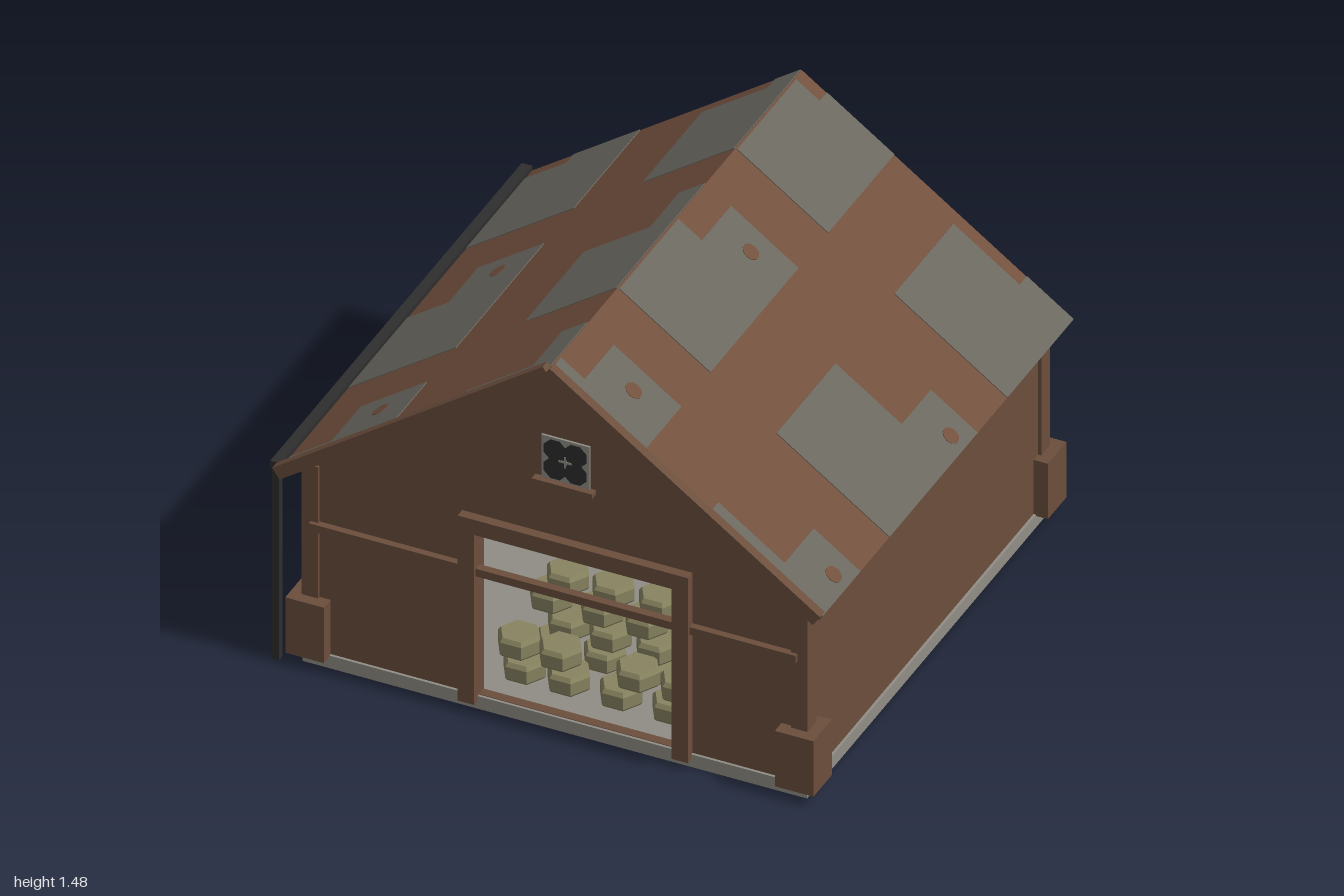
import * as THREE from 'three';

const mat = (name, color) => {
  const m = new THREE.MeshStandardMaterial({ color });
  m.name = name;
  return m;
};

export function createModel() {
  const wood = mat('brown wood', 0x6b4e3c);
  const rust = mat('rusty roof', 0x72503e);
  const steel = mat('bare roof metal', 0x6a675f);
  const dark = mat('dark metal', 0x2e2e2e);
  const concrete = mat('concrete', 0x908d85);
  const straw = mat('straw', 0x878360);

  const barn = new THREE.Group();
  barn.name = 'barn';
  const CX = 0.015, CZ = -0.015; // centre of the walls
  const SLOPE = Math.atan(0.708), COS = Math.cos(SLOPE);

  // box given by its limits on each axis
  function box(name, m, x0, x1, y0, y1, z0, z1, parent = barn) {
    const mesh = new THREE.Mesh(new THREE.BoxGeometry(x1 - x0, y1 - y0, z1 - z0), m);
    mesh.position.set((x0 + x1) / 2, (y0 + y1) / 2, (z0 + z1) / 2);
    mesh.name = name;
    parent.add(mesh);
    return mesh;
  }
  // flat outline with thickness, its back at z
  function panel(name, m, points, z, depth, hole) {
    const shape = new THREE.Shape(points.map(p => new THREE.Vector2(...p)));
    if (hole) shape.holes.push(new THREE.Path(hole.map(p => new THREE.Vector2(...p))));
    const mesh = new THREE.Mesh(new THREE.ExtrudeGeometry(shape, { depth, bevelEnabled: false }), m);
    mesh.position.z = z;
    mesh.name = name;
    barn.add(mesh);
  }

  // foundation and walls
  box('foundation', concrete, -0.9, 0.93, 0, 0.05, -0.93, 0.9);
  const outline = [[-0.89, 0.05], [0.92, 0.05], [0.92, 0.79], [CX, 1.432], [-0.89, 0.79]];
  const doorway = [[-0.28, 0.052], [-0.28, 0.72], [0.465, 0.72], [0.465, 0.052]];
  panel('frontWall', wood, outline, 0.855, 0.035, doorway);
  panel('backWall', wood, outline, -0.92, 0.035);
  for (const [z, n] of [[0.885, 'frontGable'], [-0.93, 'backGable']])
    panel(n, wood, [[-0.84, 0.84], [0.87, 0.84], [CX, 1.435]], z, 0.015);
  box('rightWall', wood, -0.89, -0.86, 0.05, 0.79, -0.9, 0.87);
  box('leftWall', wood, 0.89, 0.92, 0.05, 0.79, -0.9, 0.87);
  box('innerBackLining', dark, -0.86, 0.89, 0.05, 0.84, -0.885, -0.877);

  // corner posts with thick feet
  for (const sx of [-1, 1]) for (const sz of [-1, 1]) {
    const px = CX + sx * 0.8875, pz = CZ + sz * 0.8825;
    box('cornerPost', wood, px - 0.03, px + 0.03, 0.05, 0.785, pz - 0.033, pz + 0.033);
    box('cornerFoot', wood, px - 0.07, px + 0.07, 0.045, 0.265, pz - 0.07 + sz * 0.003, pz + 0.07 + sz * 0.003);
  }

  // door frame and front rail
  box('doorPost', wood, -0.325, -0.265, 0.03, 0.765, 0.85, 0.925);
  box('doorPost', wood, 0.45, 0.51, 0.03, 0.765, 0.85, 0.925);
  box('doorLintel', wood, -0.265, 0.45, 0.705, 0.765, 0.85, 0.925);
  box('frontRail', wood, -0.87, 0.895, 0.535, 0.565, 0.885, 0.915);

  // gable window
  box('windowFrame', concrete, -0.03, 0.145, 0.995, 1.165, 0.9, 0.908);
  box('windowSill', wood, -0.055, 0.165, 0.98, 0.997, 0.9, 0.93);
  for (const sx of [-1, 1]) for (const sy of [-1, 1]) {
    const pane = new THREE.Mesh(new THREE.CircleGeometry(0.044, 8, Math.PI / 8), dark);
    pane.name = 'windowPane';
    pane.position.set(0.0575 + sx * 0.037, 1.08 + sy * 0.036, 0.91);
    barn.add(pane);
  }
  box('windowGlass', dark, 0.0075, 0.1075, 1.03, 1.13, 0.904, 0.909);
  box('windowCross', concrete, 0.035, 0.08, 1.076, 1.084, 0.905, 0.912);
  box('windowCross', concrete, 0.0535, 0.0615, 1.058, 1.102, 0.905, 0.912);

  // roof: each slope is laid flat from the ridge outward, then tilted
  const LENGTH = 0.985 / COS, Z0 = -0.965, Z1 = 0.93;
  const patches = { // narrow and wide start, shared end, in world x
    '1': [[0.105, 0.02, 0.35], [0.83, 0.59, 1]],
    '-1': [[-0.81, -0.97, -0.57], [-0.08, -0.32, 0.012]],
  };
  for (const side of [-1, 1]) {
    const slope = new THREE.Group();
    slope.name = side > 0 ? 'leftRoof' : 'rightRoof';
    slope.position.set(CX, 1.46, 0);
    slope.rotation.z = -side * SLOPE;
    barn.add(slope);
    const strip = (name, m, s0, s1, y0, y1, z0, z1) =>
      box(name, m, Math.min(side * s0, side * s1), Math.max(side * s0, side * s1), y0, y1, z0, z1, slope);
    strip('roofSheet', rust, 0, LENGTH, -0.022, 0, Z0, Z1);
    strip('bargeBoard', wood, 0, LENGTH - 0.005, -0.025, 0.022, Z1, 0.965);

    // bare metal patches repeat along the roof
    const along = x => Math.max(0, Math.min(LENGTH, side * (x - CX) / COS));
    const patch = (xa, xb, za, zb) => {
      const a = Math.max(za, Z0), b = Math.min(zb, Z1);
      if (b > a) strip('metalPatch', steel, along(xa), along(xb), -0.002, 0.003, a, b);
    };
    for (const [narrow, wide, end] of patches[side]) {
      for (const z of [-1.13, -0.24, 0.645]) {
        patch(narrow, end, z, z + 0.22);
        patch(wide, end, z + 0.22, z + 0.665);
        const spotX = narrow + 0.12;
        if (z < -1 || spotX > 0.97 || (side < 0 && spotX > -0.1)) continue;
        const spot = new THREE.Mesh(new THREE.CylinderGeometry(0.032, 0.032, 0.006, 10), rust);
        spot.name = 'rustSpot';
        spot.position.set(side * along(spotX), 0.002, z + 0.1);
        slope.add(spot);
      }
    }
  }

  // gutter, downpipe and side door fittings
  box('gutter', dark, -1, -0.962, 0.755, 0.787, -0.965, 0.935);
  box('downpipe', dark, -0.995, -0.97, 0, 0.76, 0.905, 0.932);
  box('sideDoorGap', dark, -0.896, -0.888, 0.1, 0.74, 0.285, 0.315);
  for (const y of [0.18, 0.6]) box('sideDoorHinge', dark, -0.896, -0.888, y - 0.025, y + 0.025, -0.418, -0.402);

  // stacked six-sided straw bales
  const baleGeo = new THREE.LatheGeometry(
    [[0, -0.035], [0.07, -0.035], [0.077, -0.026], [0.077, 0.02], [0.066, 0.035], [0, 0.035]]
      .map(p => new THREE.Vector2(...p)), 6, Math.PI / 6 * 3).toNonIndexed();
  baleGeo.computeVertexNormals();
  const stacks = [
    [0.72, 0.09, [-0.18, -0.02, 0.17, 0.36]],
    [0.72, 0.18, [-0.2, -0.05, 0.23, 0.39]],
    [0.55, 0.09, [-0.14, 0.03, 0.2, 0.37]],
    [0.55, 0.18, [-0.1, 0.05, 0.22, 0.38]],
    [0.55, 0.27, [-0.165, 0.02, 0.18]],
    [0.55, 0.36, [-0.105, 0.06, 0.23]],
  ];
  for (const [z, y, xs] of stacks) for (const x of xs) {
    const bale = new THREE.Mesh(baleGeo, straw);
    bale.name = 'strawBale';
    bale.position.set(x, y, z);
    barn.add(bale);
  }
  return barn;
}
